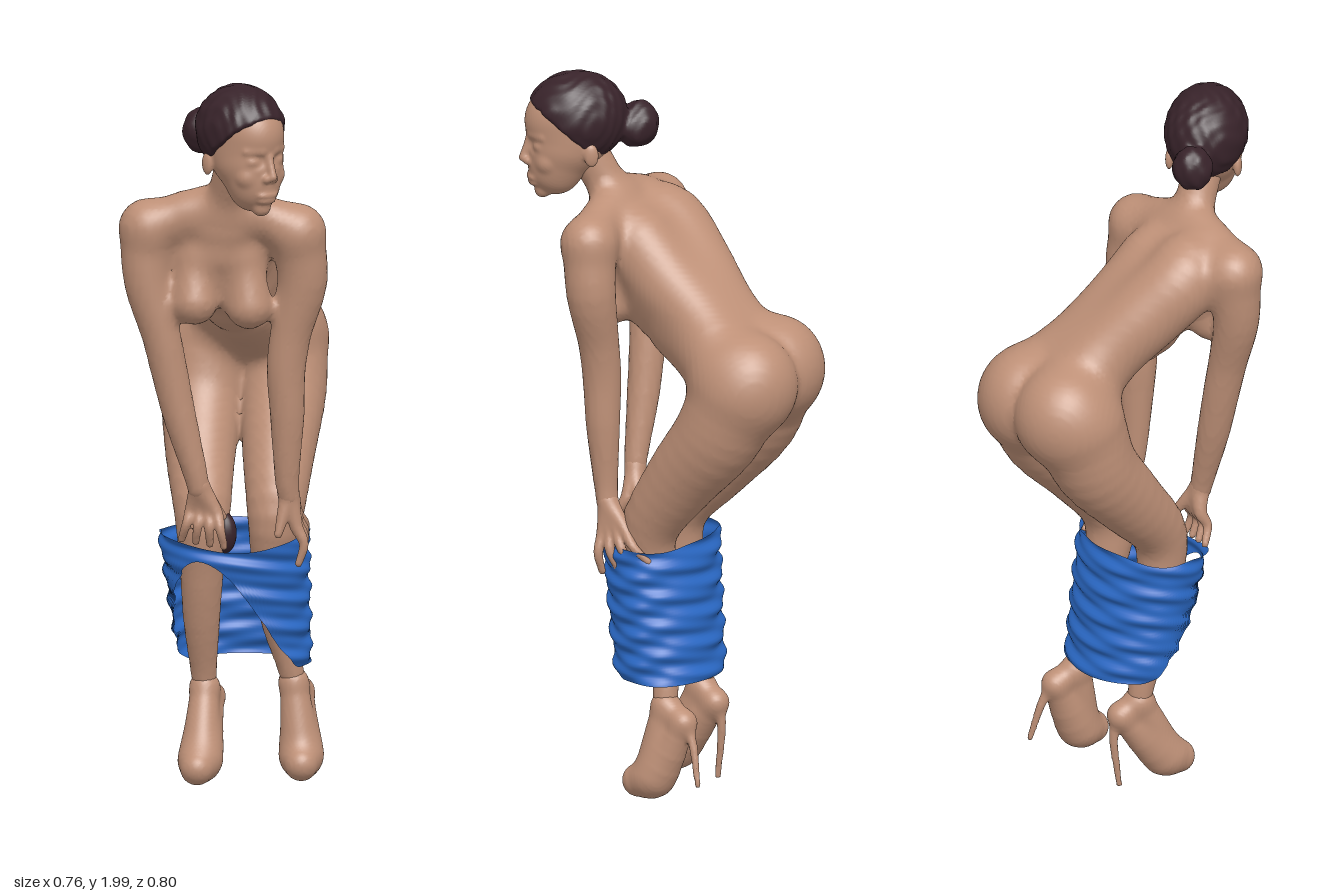
import * as THREE from 'three';

const flat = (name, color) => Object.assign(new THREE.MeshStandardMaterial({ color }), { name });

// Smooth minimum: melts two distances together over a width k
const melt = (a, b, k) => {
  const h = Math.max(k - Math.abs(a - b), 0) / k;
  return Math.min(a, b) - h * h * k / 4;
};

// Distance to a tapered capsule between stations [x, y, z, radius]
function capsule(a, b) {
  const dx = b[0] - a[0], dy = b[1] - a[1], dz = b[2] - a[2], dr = b[3] - a[3];
  const len = dx * dx + dy * dy + dz * dz;
  return (x, y, z) => {
    const px = x - a[0], py = y - a[1], pz = z - a[2];
    const t = Math.min(1, Math.max(0, (px * dx + py * dy + pz * dz) / len));
    const qx = px - t * dx, qy = py - t * dy, qz = pz - t * dz;
    return Math.sqrt(qx * qx + qy * qy + qz * qz) - a[3] - t * dr;
  };
}

// Limb along a smooth curve through the stations
function limb(...p) {
  const path = new THREE.CatmullRomCurve3(p.map(s => new THREE.Vector3(s[0], s[1], s[2])));
  const size = new THREE.CatmullRomCurve3(p.map(s => new THREE.Vector3(s[3], 0, 0)));
  const n = p.length > 2 ? (p.length - 1) * 4 : 1;
  const at = i => [...path.getPoint(i / n).toArray(), size.getPoint(i / n).x];
  const parts = [...Array(n)].map((_, i) => capsule(at(i), at(i + 1)));
  return (x, y, z) => {
    let d = Infinity;
    for (let i = 0; i < n; i++) d = Math.min(d, parts[i](x, y, z));
    return d;
  };
}

// Approximate distance to an ellipsoid
const ball = (cx, cy, cz, rx, ry = rx, rz = rx) => (x, y, z) => {
  const u = (x - cx) / rx, v = (y - cy) / ry, w = (z - cz) / rz;
  const k0 = Math.sqrt(u * u + v * v + w * w);
  const k1 = Math.sqrt((u / rx) ** 2 + (v / ry) ** 2 + (w / rz) ** 2);
  return k1 ? k0 * (k0 - 1) / k1 : -rx;
};

const blend = (k, ...shapes) => {
  const list = shapes.flat();
  return (x, y, z) => {
    let d = list[0](x, y, z);
    for (let i = 1; i < list.length; i++) d = melt(d, list[i](x, y, z), k);
    return d;
  };
};
const carve = (k, base, tool) => (x, y, z) => -melt(-base(x, y, z), tool(x, y, z), k);

// Smooth mesh of a distance function inside a box
function surface(f, lo, hi, cell) {
  const n = lo.map((l, i) => Math.ceil((hi[i] - l) / cell) + 1);
  const stride = [1, n[0], n[0] * n[1]];
  const val = new Float32Array(n[0] * n[1] * n[2]), vert = new Int32Array(val.length).fill(-1);
  const pos = [], idx = [];
  const each = (start, end, fn) => {
    for (let k = start; k < n[2] - end; k++) for (let j = start; j < n[1] - end; j++)
      for (let i = start; i < n[0] - end; i++) fn(i + j * stride[1] + k * stride[2], i, j, k);
  };
  each(0, 0, (q, i, j, k) => { val[q] = f(lo[0] + i * cell, lo[1] + j * cell, lo[2] + k * cell); });
  const corner = [...Array(8)].map((_, c) => (c & 1) + (c >> 1 & 1) * stride[1] + (c >> 2) * stride[2]);
  // One vertex per crossed cell, at the mean of its edge crossings
  each(0, 1, (q, i, j, k) => {
    const sum = [0, 0, 0];
    let count = 0;
    for (let c = 0; c < 8; c++) for (let d = 0; d < 3; d++) {
      if (c >> d & 1) continue;
      const a = val[q + corner[c]], b = val[q + corner[c | 1 << d]];
      if (a < 0 === b < 0) continue;
      for (let e = 0; e < 3; e++) sum[e] += e === d ? a / (a - b) : c >> e & 1;
      count++;
    }
    if (!count) return;
    vert[q] = pos.length / 3;
    [i, j, k].forEach((g, e) => pos.push(lo[e] + (g + sum[e] / count) * cell));
  });
  // One quad per crossed edge
  each(1, 1, q => {
    for (let d = 0; d < 3; d++) {
      const inside = val[q] < 0, u = stride[(d + 1) % 3], v = stride[(d + 2) % 3];
      if (inside === val[q + stride[d]] < 0) continue;
      const [a, b, c, e] = [q, q - u, q - u - v, q - v].map(m => vert[m]);
      if (inside) idx.push(a, b, c, a, c, e);
      else idx.push(a, c, b, a, e, c);
    }
  });
  return indexed(pos, idx);
}

function indexed(pos, idx) {
  const g = new THREE.BufferGeometry();
  g.setAttribute('position', new THREE.Float32BufferAttribute(pos, 3));
  g.setIndex(idx);
  g.computeVertexNormals();
  return g;
}

// Torso, neck, arms and legs, leaning forward and turned
function bodyShape() {
  const trunk = blend(0.05,
    limb([0.11, 1.25, -0.19, 0.115], [0.025, 1.36, -0.12, 0.104], [-0.08, 1.465, -0.065, 0.107], [-0.165, 1.55, -0.012, 0.108], [-0.19, 1.6, 0.07, 0.068]),
    limb([0.205, 1.24, -0.12, 0.115], [0.095, 1.35, -0.06, 0.1], [0.005, 1.44, 0.015, 0.105], [-0.06, 1.53, 0.08, 0.102], [-0.1, 1.59, 0.13, 0.068]),
    limb([-0.14, 1.51, 0.09, 0.085], [-0.075, 1.395, 0.045, 0.088], [0.02, 1.315, -0.015, 0.088], [0.11, 1.26, -0.08, 0.09]));
  const torso = blend(0.04, trunk,
    limb([-0.145, 1.6, 0.12, 0.07], [-0.155, 1.68, 0.16, 0.054], [-0.167, 1.78, 0.215, 0.056]),
    limb([-0.3, 1.58, 0, 0.07], [-0.155, 1.65, 0.125, 0.045], [0.02, 1.57, 0.235, 0.07]),
    limb([-0.205, 1.48, 0.07, 0.05], [-0.218, 1.375, 0.09, 0.062]), limb([-0.09, 1.48, 0.145, 0.05], [-0.088, 1.36, 0.165, 0.062]));
  const leftLeg = blend(0.03, ball(0.245, 1.207, -0.168, 0.131, 0.145, 0.137),
    limb([0.235, 1.18, -0.14, 0.13], [0.208, 1.06, -0.09, 0.12], [0.13, 0.91, 0, 0.1], [0.065, 0.75, 0.075, 0.077],
      [0.07, 0.6, 0.055, 0.056], [0.1, 0.45, 0.035, 0.046], [0.143, 0.29, 0.045, 0.034], [0.15, 0.22, 0.045, 0.034]));
  const rightLeg = blend(0.03, ball(0.113, 1.213, -0.262, 0.142, 0.147, 0.139),
    limb([0.078, 1.18, -0.25, 0.13], [0.037, 1.05, -0.225, 0.116], [-0.038, 0.9, -0.133, 0.096], [-0.102, 0.75, -0.035, 0.076],
      [-0.1, 0.6, -0.04, 0.06], [-0.085, 0.45, -0.062, 0.05], [-0.058, 0.28, -0.088, 0.034], [-0.055, 0.21, -0.088, 0.034]));
  const arms = blend(0.01,
    limb([0.025, 1.56, 0.238, 0.072], [0.042, 1.43, 0.235, 0.068], [0.02, 1.28, 0.21, 0.056], [0.012, 1.18, 0.2, 0.053],
      [0.017, 1.05, 0.198, 0.047], [0.022, 0.87, 0.19, 0.033], [0.03, 0.82, 0.187, 0.03]),
    limb([-0.305, 1.575, -0.015, 0.073], [-0.31, 1.43, -0.005, 0.063], [-0.28, 1.28, 0.02, 0.053], [-0.26, 1.18, 0.03, 0.05],
      [-0.235, 1.05, 0.045, 0.045], [-0.2, 0.89, 0.07, 0.033], [-0.192, 0.85, 0.074, 0.03]));
  const legs = (x, y, z) => melt(leftLeg(x, y, z), rightLeg(x, y, z), 0.008);
  return blend(0.035, torso, legs, arms);
}

// Hand: palm, four spread fingers and a thumb
function handShape(wrist, palm, first, last, bulge, thumb) {
  const mix = (a, b, t) => a.map((v, i) => v + (b[i] - v) * t);
  const span = first.map((v, i) => last[i] - v), len = Math.hypot(...span), parts = [];
  for (let i = 0; i < 4; i++) {
    const root = palm.map((v, e) => v + (i - 1.5) * 0.024 * span[e] / len);
    const tip = mix(first, last, i / 3), mid = mix(root, tip, 0.5).map((v, e) => v + bulge[e]);
    parts.push(limb([...wrist, 0.026], [...root, 0.018], [...mid, 0.013], [...tip, 0.01]));
  }
  parts.push(limb([...wrist, 0.024], [...mix(wrist, thumb, 0.5), 0.018], [...thumb, 0.011]));
  return blend(0.008, parts);
}

// Head with a modelled face
function headShape() {
  const cx = -0.168, pair = fn => [-1, 1].map(fn);
  const base = blend(0.04, ball(cx, 1.865, 0.25, 0.098, 0.114, 0.134), ball(cx, 1.735, 0.298, 0.071, 0.08, 0.076),
    ball(cx, 1.79, 0.265, 0.089, 0.07, 0.1));
  const sockets = blend(0.002, pair(s => ball(cx + s * 0.039, 1.805, 0.386, 0.022, 0.014, 0.026)));
  return blend(0.012, carve(0.02, base, sockets),
    limb([cx, 1.815, 0.374, 0.008], [cx, 1.762, 0.39, 0.011]),
    pair(s => ball(cx + s * 0.013, 1.755, 0.379, 0.01)),
    pair(s => ball(cx + s * 0.038, 1.803, 0.352, 0.018, 0.011, 0.014)),
    pair(s => capsule([cx + s * 0.02, 1.832, 0.368, 0.007], [cx + s * 0.06, 1.832, 0.346, 0.006])),
    pair(s => ball(cx + s * 0.046, 1.757, 0.332, 0.028, 0.026, 0.026)),
    pair(s => ball(cx + s * 0.096, 1.785, 0.215, 0.011, 0.032, 0.02)),
    ball(cx, 1.708, 0.366, 0.03, 0.007, 0.012), ball(cx, 1.692, 0.361, 0.026, 0.009, 0.013),
    ball(cx, 1.668, 0.335, 0.026, 0.022, 0.022));
}

// Combed hair above a slanting hairline, with a bun at the back
function hairShape() {
  const cap = ball(-0.17, 1.872, 0.24, 0.115, 0.127, 0.141);
  const below = (x, y, z) => (y - 1.835 - 0.85 * (z - 0.27)) * 0.76;
  const bun = blend(0.01, ball(-0.172, 1.845, 0.063, 0.055, 0.063, 0.05), ball(-0.155, 1.835, 0.085, 0.045, 0.052, 0.045));
  const all = blend(0.012, carve(0.006, cap, below), bun);
  return (x, y, z) => all(x, y, z) + 0.0022 * Math.sin(x * 150 + 3 * Math.sin(z * 40)) * Math.sin(y * 70 + z * 45);
}

// Shoe: foot on a platform cut flat at the floor, plus a thin heel
function shoeShape(toe, front, heel, ankle, tip) {
  const foot = blend(0.02, limb(toe, front, heel), limb(heel, ankle), limb(front, ankle));
  const rod = limb([heel[0], heel[1], heel[2], 0.024], [...tip.slice(3), 0.013], [...tip.slice(0, 3), 0.008]);
  return (x, y, z) => Math.max(melt(foot(x, y, z), rod(x, y, z), 0.012), 0.01 - y);
}

// Bunched trousers: an open sleeve around both legs with a slanting hem and folds
function trousersGeometry() {
  const cols = 112, rows = 56, pos = [], idx = [];
  for (let i = 0; i <= rows; i++) for (let j = 0; j < cols; j++) {
    const w = (j / cols) * Math.PI * 2, v = i / rows;
    const lift = Math.pow(Math.max(0, Math.cos(w - 2.1)), 2);
    const top = 0.715 - 0.035 * Math.max(0, Math.sin(w)) + 0.008 * Math.sin(3 * w);
    const y = top + (0.335 + 0.31 * lift - top) * v, f = (0.72 - y) / 0.39;
    const fold = 0.005 * Math.sin(y * 80 + 3 * Math.sin(w + 0.6) + Math.sin(3 * w)) + 0.003 * Math.sin(y * 150 - 4 * w);
    const s = Math.cos(w) * (0.206 - 0.026 * f + fold), d = Math.sin(w) * (0.147 - 0.005 * f + fold);
    pos.push(-0.042 + 0.052 * f + 0.82 * s - 0.57 * d, y, 0.027 - 0.017 * f + 0.57 * s + 0.82 * d);
    if (i < rows) {
      const q = i * cols + j, e = i * cols + (j + 1) % cols;
      idx.push(q, e, e + cols, q, e + cols, q + cols);
    }
  }
  return indexed(pos, idx);
}

export function createModel() {
  const model = new THREE.Group();
  const skin = flat('skin', 0xbe9077), hair = flat('dark hair', 0x38232a), cloth = flat('blue cloth', 0x2a68c4);
  cloth.side = THREE.DoubleSide;
  const add = (name, geometry, material = skin) => {
    const m = new THREE.Mesh(geometry, material);
    m.name = name;
    model.add(m);
  };
  add('body', surface(bodyShape(), [-0.43, 0.15, -0.45], [0.43, 1.87, 0.37], 0.0125));
  add('head', surface(headShape(), [-0.3, 1.62, 0.08], [-0.04, 2.0, 0.43], 0.005));
  add('hair', surface(hairShape(), [-0.31, 1.71, -0.02], [-0.03, 2.03, 0.41], 0.006), hair);
  // Hands resting on the knees
  add('leftHand', surface(handShape([0.03, 0.83, 0.187], [0.065, 0.75, 0.175], [0.05, 0.635, 0.205], [0.138, 0.68, 0.09],
    [0.012, 0.004, 0.014], [-0.008, 0.72, 0.19]), [-0.06, 0.58, 0.04], [0.19, 0.89, 0.26], 0.006));
  add('rightHand', surface(handShape([-0.192, 0.86, 0.074], [-0.175, 0.785, 0.075], [-0.215, 0.705, 0.025], [-0.14, 0.69, 0.12],
    [-0.01, 0.004, 0.014], [-0.115, 0.765, 0.08]), [-0.28, 0.64, -0.04], [-0.06, 0.92, 0.17], 0.006));
  // Platform shoes
  add('leftShoe', surface(shoeShape([0.123, 0.055, 0.115, 0.046], [0.15, 0.075, 0.078, 0.057], [0.2, 0.235, 0.005, 0.034],
    [0.148, 0.27, 0.045, 0.037], [0.265, 0.075, -0.025, 0.226, 0.2, -0.013]), [0.04, -0.02, -0.08], [0.32, 0.34, 0.2], 0.0065));
  add('rightShoe', surface(shoeShape([-0.145, 0.055, 0.0, 0.046], [-0.112, 0.075, -0.03, 0.057], [-0.012, 0.225, -0.118, 0.034],
    [-0.057, 0.26, -0.087, 0.037], [-0.008, 0.015, -0.125, 0.005, 0.18, -0.132]), [-0.23, -0.02, -0.21], [0.07, 0.34, 0.09], 0.0065));
  // Lowered clothing
  add('trousers', trousersGeometry(), cloth);
  add('innerFabric', new THREE.SphereGeometry(1, 24, 16).scale(0.032, 0.058, 0.04).translate(-0.065, 0.705, 0.015), hair);
  return model;
}
